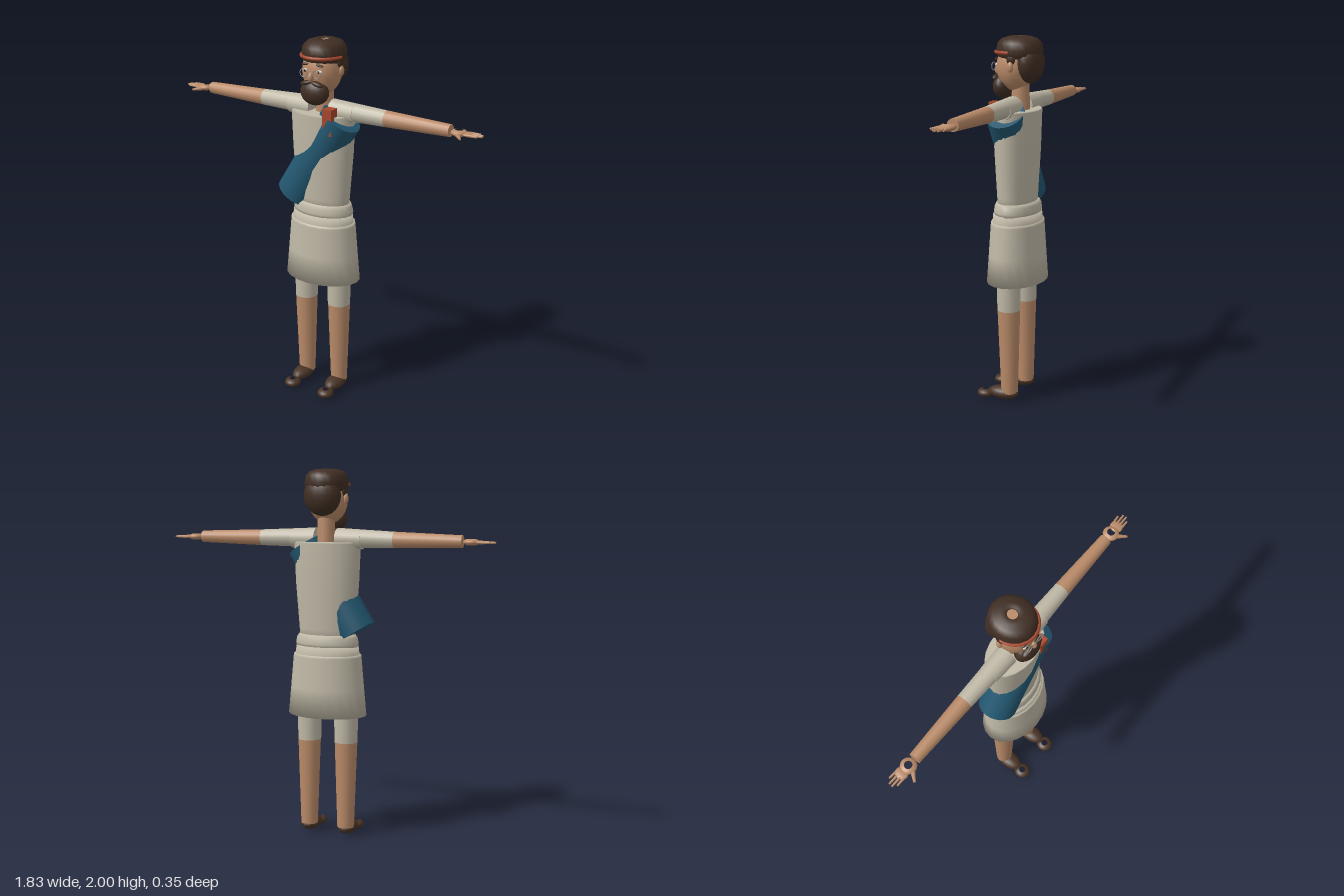
import * as THREE from 'three';

const mat = (name, color, side = THREE.FrontSide) => {
  const m = new THREE.MeshStandardMaterial({ color, side });
  m.name = name;
  return m;
};

export function createModel() {
  const root = new THREE.Group();
  root.name = 'figure';
  const skin = mat('skin', 0xb98a68);
  const cloth = mat('cloth', 0xbfb8a6);
  const hair = mat('hair', 0x402e23);
  const shoe = mat('shoeLeather', 0x4a3426);
  const teal = mat('sash', 0x22566f);
  const red = mat('red', 0xa5472c);
  const metal = mat('metal', 0x8d8a86);
  const white = mat('eyeWhite', 0xd8d4cc);

  const add = (name, geo, m, x = 0, y = 0, z = 0, parent = root) => {
    const mesh = new THREE.Mesh(geo, m);
    mesh.name = name;
    mesh.position.set(x, y, z);
    parent.add(mesh);
    return mesh;
  };
  const ball = (name, m, p, r, parent = root, cut = 0) => {
    const geo = new THREE.SphereGeometry(1, 18, 12, 0, Math.PI * 2, cut, Math.PI - 2 * cut);
    const mesh = add(name, geo, m, ...p, parent);
    mesh.scale.set(...r);
    return mesh;
  };
  // Oval body section: profile of [half width, height], squashed in depth
  const oval = (name, m, pts, depth, z) => {
    const geo = new THREE.LatheGeometry(pts.map(p => new THREE.Vector2(...p)), 20);
    geo.scale(1, 1, depth);
    return add(name, geo, m, 0, 0, z);
  };
  // Tapered round rod between two points
  const rod = (name, m, a, b, ra, rb, parent = root, seg = 16) => {
    const A = new THREE.Vector3(...a), B = new THREE.Vector3(...b);
    const d = B.clone().sub(A);
    const mesh = add(name, new THREE.CylinderGeometry(rb, ra, d.length(), seg), m, 0, 0, 0, parent);
    mesh.position.copy(A).add(B).multiplyScalar(0.5);
    mesh.quaternion.setFromUnitVectors(new THREE.Vector3(0, 1, 0), d.normalize());
    return mesh;
  };

  // Tunic, waistband and skirt
  const torso = oval('torso', cloth,
    [[0, 1.06], [0.152, 1.06], [0.158, 1.15], [0.178, 1.4], [0.187, 1.61], [0.18, 1.617], [0, 1.617]], 0.62, -0.015);
  torso.scale.z = 1;
  oval('hips', cloth, [[0, 0.9], [0.183, 0.9], [0.182, 1.0], [0.174, 1.06], [0, 1.06]], 0.7, -0.015);
  oval('waistband', cloth,
    [[0.15, 1.05], [0.174, 1.056], [0.177, 1.075], [0.17, 1.105], [0.158, 1.122], [0.13, 1.122]], 0.67, -0.017);
  oval('skirt', cloth, [[0, 0.68], [0.22, 0.68], [0.206, 0.83], [0.191, 1.0], [0.189, 1.013], [0.17, 1.013]], 0.707, -0.015);

  // Diagonal sash roll passing through the tunic
  const sash = add('sash', new THREE.CylinderGeometry(0.112, 0.112, 0.547, 24), teal, -0.02, 1.367, 0);
  sash.scale.z = 0.9;
  sash.rotation.z = -0.55;
  add('chestBox', new THREE.BoxGeometry(0.055, 0.14, 0.058), red, 0.094, 1.592, 0.069);

  // Legs, arms, hands and shoes, mirrored
  for (const s of [1, -1]) {
    const side = new THREE.Group();
    side.name = s > 0 ? 'leftLimbs' : 'rightLimbs';
    root.add(side);

    rod('trouserLeg', cloth, [s * 0.107, 0.53, -0.011], [s * 0.11, 0.9, -0.01], 0.063, 0.069, side);
    rod('lowerLeg', skin, [s * 0.108, 0.05, -0.015], [s * 0.108, 0.53, -0.011], 0.046, 0.062, side);
    ball('shoe', shoe, [s * 0.11, 0.044, 0.022], [0.049, 0.036, 0.088], side);
    ball('shoeToe', shoe, [s * 0.112, 0.025, 0.131], [0.045, 0.026, 0.047], side, 0.42);

    rod('sleeve', cloth, [s * 0.06, 1.638, -0.015], [s * 0.38, 1.633, -0.02], 0.053, 0.043, side);
    rod('shoulder', cloth, [s * 0.06, 1.632, -0.015], [s * 0.2, 1.632, -0.016], 0.058, 0.052, side);
    rod('forearm', skin, [s * 0.38, 1.633, -0.02], [s * 0.745, 1.632, -0.02], 0.043, 0.032, side);
    ball('wrist', skin, [s * 0.79, 1.63, -0.02], [0.042, 0.019, 0.042], side, 0.5);
    ball('palm', skin, [s * 0.838, 1.629, -0.022], [0.03, 0.01, 0.034], side);
    for (let i = 0; i < 4; i++) {
      const z = -0.046 + i * 0.016;
      const tip = [0.893, 0.914, 0.916, 0.897][i];
      rod('finger', skin, [s * 0.84, 1.629, z], [s * tip, 1.629, z * 1.12], 0.008, 0.005, side, 8);
    }
    rod('thumb', skin, [s * 0.795, 1.627, 0.01], [s * 0.832, 1.622, 0.053], 0.013, 0.006, side, 8);

    // Mirrored face details
    ball('ear', skin, [s * 0.108, 1.845, -0.02], [0.013, 0.028, 0.017], side);
    ball('eye', white, [s * 0.042, 1.85, 0.086], [0.017, 0.01, 0.009], side);
    ball('pupil', hair, [s * 0.042, 1.85, 0.094], [0.007, 0.008, 0.004], side);
    const brow = ball('eyebrow', hair, [s * 0.044, 1.882, 0.085], [0.023, 0.006, 0.009], side);
    brow.rotation.z = -s * 0.15;
    add('lensRim', new THREE.TorusGeometry(0.022, 0.0025, 6, 20), metal, s * 0.04, 1.84, 0.108, side);
    const tache = ball('moustache', hair, [s * 0.033, 1.787, 0.094], [0.037, 0.013, 0.019], side);
    tache.rotation.z = -s * 0.25;
    ball('sideburn', hair, [s * 0.1, 1.885, -0.02], [0.013, 0.03, 0.025], side);
  }

  // Neck, head and beard
  rod('neck', skin, [0, 1.61, -0.032], [0, 1.78, -0.03], 0.05, 0.045);
  ball('head', skin, [0, 1.84, -0.005], [0.106, 0.13, 0.104]);
  ball('nose', skin, [0, 1.82, 0.1], [0.015, 0.027, 0.02]);
  rod('glassesBridge', metal, [-0.018, 1.842, 0.108], [0.018, 1.842, 0.108], 0.002, 0.002, root, 6);
  ball('beard', hair, [0, 1.735, 0.066], [0.082, 0.068, 0.054]);

  // Hair cap with a small open crown, bun behind and headband in front
  const cap = [[0.1, 1.885], [0.113, 1.9], [0.116, 1.93], [0.11, 1.965], [0.09, 1.987], [0.055, 1.999], [0.03, 2.0], [0.025, 1.992]];
  oval('hairCap', hair, cap, 1.08, -0.026);
  add('crown', new THREE.CylinderGeometry(0.03, 0.03, 0.012, 8), skin, 0, 1.986, -0.028);
  ball('backHair', hair, [0, 1.862, -0.085], [0.102, 0.108, 0.071]);
  const band = add('headband', new THREE.TorusGeometry(0.112, 0.009, 8, 28, Math.PI), red, 0, 1.917, -0.01);
  band.rotation.x = Math.PI / 2;
  band.scale.y = 1.0;

  return root;
}
